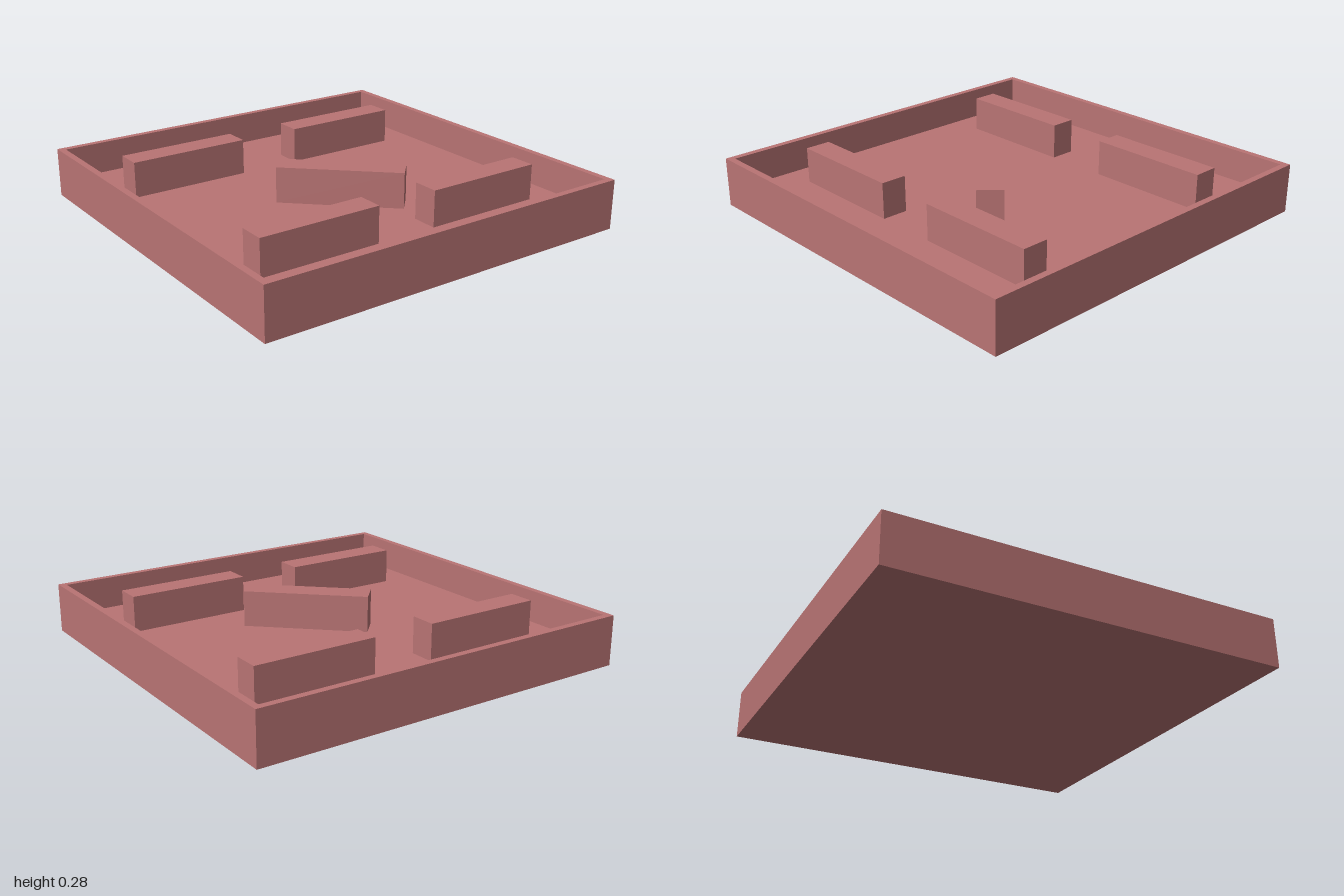
import * as THREE from 'three';

const FLOOR = 0.09;   // top of the tray floor
const RIM = 0.255;    // top of the walls
const TOP = 0.275;    // top of the blocks
const INNER = 0.966;  // half-width inside the walls

const square = (Type, h) => new Type([
  new THREE.Vector2(-h, -h), new THREE.Vector2(h, -h),
  new THREE.Vector2(h, h), new THREE.Vector2(-h, h),
]);

export function createModel() {
  const model = new THREE.Group();
  const clay = new THREE.MeshStandardMaterial({ color: 0xb97474 });
  clay.name = 'dusty rose';

  const add = (name, geometry, x, y, z, turn = 0) => {
    const mesh = new THREE.Mesh(geometry, clay);
    mesh.name = name;
    mesh.position.set(x, y, z);
    mesh.rotation.y = turn;
    model.add(mesh);
  };

  // Tray: a thin wall frame around a solid floor
  const frame = square(THREE.Shape, 1);
  frame.holes.push(square(THREE.Path, INNER));
  const walls = new THREE.ExtrudeGeometry(frame, { depth: RIM, bevelEnabled: false });
  walls.rotateX(-Math.PI / 2);
  add('trayWalls', walls, 0, 0, 0);
  add('trayFloor', new THREE.BoxGeometry(2 * INNER, FLOOR, 2 * INNER), 0, FLOOR / 2, 0);

  // Four straight blocks and one slanted block, standing on the floor
  const block = new THREE.BoxGeometry(0.134, TOP - FLOOR, 0.633);
  const y = (TOP + FLOOR) / 2;
  for (const [side, x] of [['left', 0.582], ['right', -0.582]]) {
    for (const [end, z] of [['Front', 0.48], ['Back', -0.48]]) {
      add(`${side}${end}Block`, block, x, y, z);
    }
  }
  add('slantedBlock', block, 0.118, y, -0.017, -0.755);

  return model;
}
